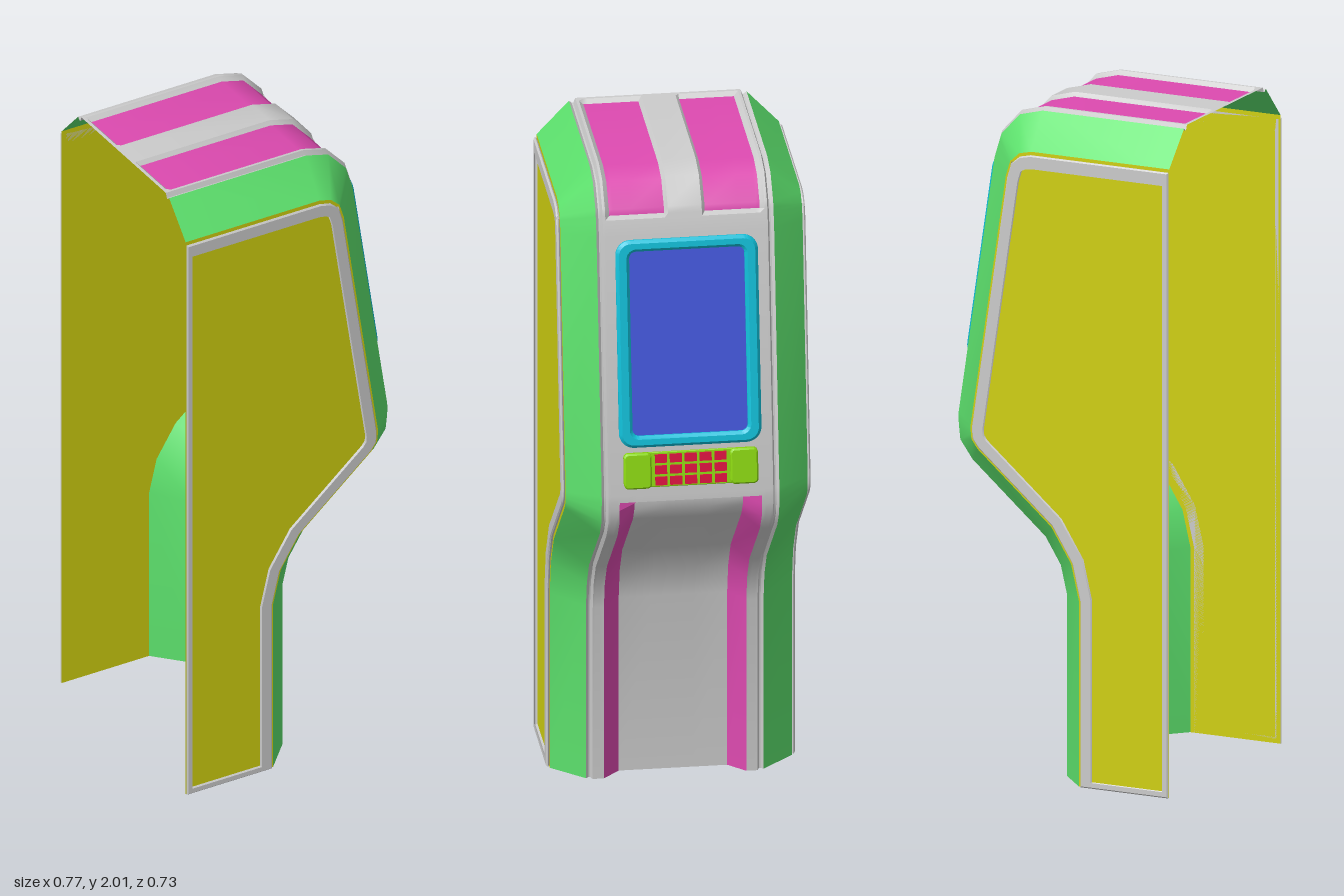
import * as THREE from 'three';
import { toCreasedNormals } from 'three/addons/utils/BufferGeometryUtils.js';

const mat = (color) => new THREE.MeshStandardMaterial({ color, side: THREE.DoubleSide });
const M = {
  grey: mat(0xcccccc), green: mat(0x5ce06c), yellow: mat(0xd0d010), pink: mat(0xdd4ab0),
  cyan: mat(0x10bfd8), blue: mat(0x4458dd), lime: mat(0x8cd810), red: mat(0xdd1040),
};
const BACK = -0.385;

// Side outline of the cabinet, from the top back edge round the nose to the floor
const outline = [
  [BACK, 2], [-0.375, 2], [-0.363, 2], [0.08, 2], [0.155, 1.98], [0.215, 1.915],
  [0.2205, 1.897], [0.2242, 1.885], [0.238, 1.84], [0.3555, 1.06], [0.3565, 1.04],
  [0.3545, 1.015], [0.35, 0.975], [0.31, 0.92], [0.07, 0.715], [0.02, 0.635],
  [0, 0.55], [0, 0],
].map(([x, y]) => new THREE.Vector2(x, y));

// Mitred outward direction at every outline point
const outward = outline.map((p, i) => {
  const side = (a, b) => {
    const t = b.clone().sub(a).normalize();
    return new THREE.Vector2(-t.y, t.x);
  };
  const a = side(outline[Math.max(i - 1, 0)], outline[Math.max(i, 1)]);
  const j = Math.min(i, outline.length - 2);
  const b = side(outline[j], outline[j + 1]);
  return a.clone().add(b).divideScalar(1 + a.dot(b));
});

// Outline point moved inwards by d (a little more along the top)
function inset(i, d) {
  const n = outward[i];
  const k = n.y > 0 && d > 0.06 ? 1.15 : 1;
  return new THREE.Vector2(outline[i].x - n.x * d, outline[i].y - n.y * d * k);
}

// Surface through rows of points; pick(i, j) chooses which cells to keep
function surface(rows, pick = () => true) {
  const pos = [];
  for (let j = 0; j < rows.length - 1; j++) {
    for (let i = 0; i < rows[j].length - 1; i++) {
      if (!pick(i, j)) continue;
      const a = rows[j][i], b = rows[j][i + 1], c = rows[j + 1][i + 1], d = rows[j + 1][i];
      for (const p of [a, d, c, a, c, b]) pos.push(p.x, p.y, p.z);
    }
  }
  const g = new THREE.BufferGeometry();
  g.setAttribute('position', new THREE.Float32BufferAttribute(pos, 3));
  return toCreasedNormals(g, 0.6);
}

function add(parent, name, geometry, material, x = 0, y = 0, z = 0) {
  const mesh = new THREE.Mesh(geometry, material);
  mesh.name = name;
  mesh.position.set(x, y, z);
  parent.add(mesh);
  return mesh;
}

// Strip swept along the outline; layers are [inset, z]
function strip(layers) {
  return surface(layers.map(([d, z]) => outline.map((_, i) => {
    const p = inset(i, d);
    return new THREE.Vector3(p.x, p.y, z);
  })));
}

// Closed side-panel outline, inset by d and kept clear of back and floor by gap
function panelPoints(d, gap) {
  const pts = outline.map((_, i) => inset(i, d))
    .map((p) => new THREE.Vector2(Math.max(p.x, BACK + gap), Math.max(p.y, gap)));
  pts.push(new THREE.Vector2(BACK + gap, gap));
  return pts.filter((p, i) => i === 0 || p.distanceTo(pts[i - 1]) > 1e-4);
}

function roundedRect(w, h, r, Type = THREE.Shape) {
  const s = new Type(), x = w / 2, y = h / 2;
  s.absarc(x - r, y - r, r, 0, Math.PI / 2);
  s.absarc(-x + r, y - r, r, Math.PI / 2, Math.PI);
  s.absarc(-x + r, -y + r, r, Math.PI, Math.PI * 1.5);
  s.absarc(x - r, -y + r, r, Math.PI * 1.5, Math.PI * 2);
  s.closePath();
  return s;
}

// Extrusion standing on z = 0 whose upper and lower rims are chamfered by b
const slab = (shape, height, b) => toCreasedNormals(new THREE.ExtrudeGeometry(shape, {
  depth: height - 2 * b, bevelThickness: b, bevelSize: b, bevelOffset: -b,
  bevelSegments: 1, curveSegments: 6,
}).translate(0, 0, b), 0.6);

// Group lying on the sloped front face at height y; local z points outwards
function onFace(name, y) {
  const g = new THREE.Group();
  g.name = name;
  const slope = 0.1506;
  g.position.set(0.246 + (1.84 - y) * slope, y, 0);
  g.rotation.set(0, Math.PI / 2, Math.atan(slope), 'ZYX');
  return g;
}

export function createModel() {
  const model = new THREE.Group();
  model.name = 'cabinet';

  // Centre body with two roof windows and a leg recess pressed into it
  const half = [0.05, 0.06, 0.16, 0.21, 0.222, 0.235, 0.243];
  const cols = [...half.map((z) => -z).reverse(), ...half];
  const depth = (i, z) => {
    const w = Math.abs(z);
    if (i >= 2 && i <= 6 && w > 0.055 && w < 0.23) return 0.012;
    return i >= 11 && w < 0.2 ? 0.05 : 0;
  };
  const rows = cols.map((z) => outline.map((_, i) => {
    const p = inset(i, depth(i, z) - 0.008);
    return new THREE.Vector3(p.x, p.y, z);
  }));
  const isPink = (i, j) => {
    const d = [depth(i, cols[j]), depth(i + 1, cols[j]), depth(i, cols[j + 1]), depth(i + 1, cols[j + 1])];
    const lo = Math.min(...d), hi = Math.max(...d);
    return i < 8 ? lo > 0 : hi > lo;
  };
  add(model, 'centreBody', surface(rows, (i, j) => !isPink(i, j)), M.grey);
  add(model, 'roofWindows', surface(rows, (i, j) => i < 8 && isPink(i, j)), M.pink);
  add(model, 'recessEdge', surface(rows, (i, j) => i >= 8 && isPink(i, j)), M.pink);

  // Both sides: groove, bevelled band, panel and raised rim
  const rim = new THREE.Shape(panelPoints(0.096, 0));
  rim.holes.push(new THREE.Path(panelPoints(0.128, 0.014)));
  const rimGeometry = slab(rim, 0.01, 0.004);
  const panelGeometry = new THREE.ShapeGeometry(new THREE.Shape(panelPoints(0.088, 0)));
  for (const s of [1, -1]) {
    const layers = (list) => {
      const l = list.map(([d, z]) => [d, z * s]);
      return s > 0 ? l : l.reverse();
    };
    const name = s > 0 ? 'left' : 'right';
    add(model, name + 'Groove', strip(layers([[-0.008, 0.243], [0.007, 0.249], [0.007, 0.254], [0, 0.262]])), M.grey);
    add(model, name + 'Bevel', strip(layers([[0, 0.262], [0.088, 0.357]])), M.green);
    add(model, name + 'Panel', panelGeometry, M.yellow, 0, 0, s * 0.357);
    add(model, name + 'Rim', rimGeometry, M.grey, 0, 0, s > 0 ? 0.357 : -0.367);
  }

  // Screen with rounded frame
  const screen = onFace('screen', 1.52);
  const frame = roundedRect(0.42, 0.63, 0.045);
  frame.holes.push(roundedRect(0.34, 0.56, 0.02, THREE.Path));
  add(screen, 'screenFrame', slab(frame, 0.024, 0.009), M.cyan);
  add(screen, 'screenGlass', new THREE.PlaneGeometry(0.35, 0.57), M.blue, 0, 0, 0.007);
  model.add(screen);

  // Keypad: low tray, raised ends and a grid of buttons
  const keypad = onFace('keypad', 1.138);
  add(keypad, 'keypadTray', slab(roundedRect(0.36, 0.106, 0.02), 0.009, 0.002), M.lime);
  for (const s of [1, -1]) {
    add(keypad, 'keypadEnd', slab(roundedRect(0.082, 0.108, 0.014), 0.022, 0.005), M.lime, s * 0.157, 0, 0);
  }
  const button = new THREE.BoxGeometry(0.035, 0.025, 0.016);
  for (let c = -2; c <= 2; c++) {
    for (let r = -1; r <= 1; r++) add(keypad, 'button', button, M.red, c * 0.044, r * 0.034, 0.008);
  }
  model.add(keypad);
  return model;
}
